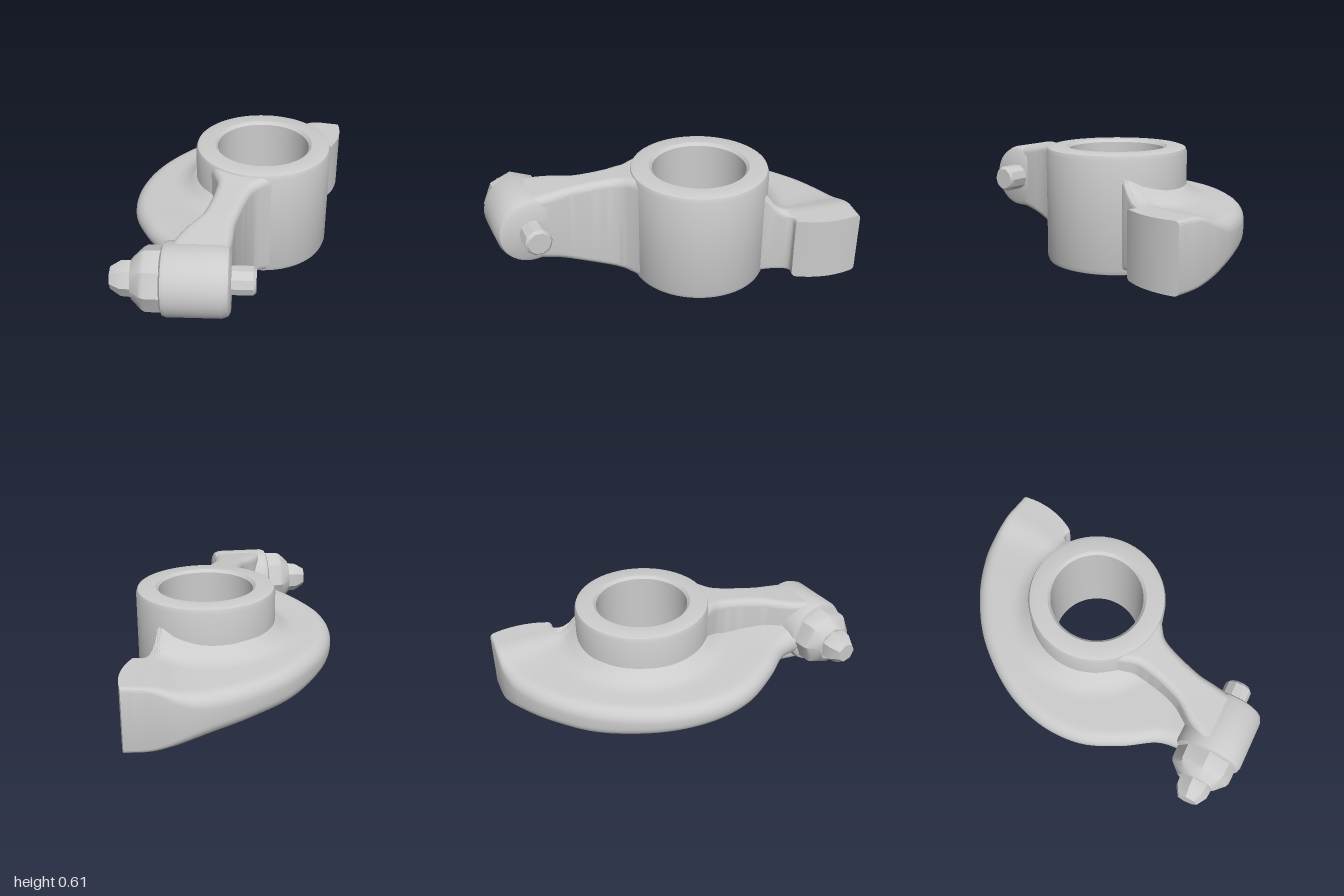
import * as THREE from 'three';
import { toCreasedNormals } from 'three/addons/utils/BufferGeometryUtils.js';

const HUB = { x: 0.14, z: -0.17, outer: 0.365, inner: 0.247, top: 0.605 };
const material = new THREE.MeshStandardMaterial({ color: 0xcccccc });
const { lerp, smoothstep, clamp } = THREE.MathUtils;

function addMesh(parent, name, geometry, crease = 0.6) {
  const mesh = new THREE.Mesh(toCreasedNormals(geometry, crease), material);
  mesh.name = name;
  parent.add(mesh);
  return mesh;
}

// Lofts rounded slabs. Each station is [ax, az, bx, bz, bottom, top]: a and b are the ends of the slab.
// taper lowers the top towards b, the flares thicken the slab at the hub, and bow bulges the last end face.
function loft(stations, { radius, taper = () => 0, flareTop = () => 0, flareBottom = 0, bow = 0, steps = 6, across = 22 }) {
  const curveA = new THREE.CatmullRomCurve3(stations.map(s => new THREE.Vector3(s[0], s[4], s[1])), false, 'catmullrom', 0.5);
  const curveB = new THREE.CatmullRomCurve3(stations.map(s => new THREE.Vector3(s[2], s[5], s[3])), false, 'catmullrom', 0.5);
  const spans = stations.length - 1, rows = spans * steps, ring = 2 * (across + 1);
  const pos = [], index = [];
  for (let i = 0; i <= rows; i++) {
    const t = i / rows, a = curveA.getPoint(t), b = curveB.getPoint(t);
    const dx = b.x - a.x, dz = b.z - a.z, width = Math.hypot(dx, dz);
    const mid = (a.y + b.y) / 2, half = (b.y - a.y) / 2, r = radius(t);
    const bulge = bow * Math.max(0, t * spans - spans + 1) / width;
    const topRow = [], bottomRow = [];
    for (let j = 0; j <= across; j++) {
      const u = 0.5 - 0.5 * Math.cos(Math.PI * j / across);
      const k = bulge * 4 * u * (1 - u);
      const x = a.x + dx * u - dz * k, z = a.z + dz * u + dx * k;
      const edge = Math.max(0, r - Math.min(u, 1 - u) * width);
      const gap = Math.hypot(x - HUB.x, z - HUB.z) - HUB.outer;
      const near = clamp(1 - gap / 0.12, 0, 1) ** 2;
      const h = half - r + Math.sqrt(r * r - edge * edge);
      topRow.push([x, mid + h - half * taper(t) * u + flareTop(t) * near, z]);
      bottomRow.unshift([x, mid - h - flareBottom * near, z]);
    }
    pos.push(...topRow.flat(), ...bottomRow.flat());
  }
  for (let i = 0; i < rows; i++) {
    for (let j = 0; j < ring; j++) {
      const p = i * ring + j, q = i * ring + (j + 1) % ring;
      index.push(p, p + ring, q + ring, p, q + ring, q);
    }
  }
  // End caps
  for (let j = 0; j < across; j++) {
    const t0 = j, t1 = j + 1, b0 = ring - 1 - j, b1 = ring - 2 - j, e = rows * ring;
    index.push(t0, t1, b1, t0, b1, b0);
    index.push(e + t0, e + b1, e + t1, e + t0, e + b0, e + b1);
  }
  const geometry = new THREE.BufferGeometry();
  geometry.setAttribute('position', new THREE.Float32BufferAttribute(pos, 3));
  geometry.setIndex(index);
  geometry.computeVertexNormals();
  return geometry;
}

// Turned part from [radius, position along axis] points, listed from low to high
const turned = (points, sides) => new THREE.LatheGeometry(points.map(p => new THREE.Vector2(...p)), sides);

export function createModel() {
  const model = new THREE.Group();
  model.name = 'rockerArm';

  // Hub: bored sleeve with softened rims
  const { outer, inner, top } = HUB;
  const hub = addMesh(model, 'hub', turned([
    [inner, 0.015], [inner + 0.015, 0], [outer - 0.03, 0], [outer - 0.008, 0.008], [outer, 0.03],
    [outer, top - 0.03], [outer - 0.008, top - 0.008], [outer - 0.03, top], [inner + 0.015, top],
    [inner, top - 0.015], [inner, 0.015],
  ], 64));
  hub.position.set(HUB.x, 0, HUB.z);

  // Crescent flange, running from the boss round the hub and ending in the deep contact pad
  addMesh(model, 'crescentFlangeAndPad', loft([
    [0.16, 0.64, -0.05, 0.69, 0.23, 0.40],
    [0.14, 0.40, -0.12, 0.57, 0.235, 0.385],
    [0.08, 0.19, -0.27, 0.45, 0.225, 0.375],
    [-0.04, 0.09, -0.42, 0.28, 0.205, 0.365],
    [-0.13, 0.00, -0.502, 0.05, 0.19, 0.36],
    [-0.17, -0.17, -0.50, -0.22, 0.175, 0.36],
    [-0.13, -0.31, -0.40, -0.52, 0.155, 0.36],
    [-0.02, -0.43, -0.24, -0.745, 0.145, 0.36],
    [0.12, -0.48, -0.07, -0.89, 0.12, 0.365],
    [0.24, -0.47, 0.06, -0.95, 0.085, 0.37],
    [0.30, -0.45, 0.16, -0.972, 0.06, 0.38],
    [0.325, -0.625, 0.25, -0.985, 0.045, 0.38],
    [0.38, -0.65, 0.335, -0.998, 0.04, 0.38],
  ], {
    radius: t => lerp(0.065, 0.02, smoothstep(t, 0.65, 0.9)),
    taper: t => lerp(0.3, 0, smoothstep(t, 0.65, 0.9)),
    flareTop: t => lerp(0.06, 0.11, smoothstep(t, 0.65, 0.85)),
    flareBottom: 0.02,
    bow: 0.035,
  }));

  // Upright web, spreading into the hub behind and the boss in front
  addMesh(model, 'frontArm', loft([
    [-0.09, 0.09, 0.37, 0.09, 0.01, 0.595],
    [0.00, 0.185, 0.28, 0.185, 0.018, 0.588],
    [0.05, 0.27, 0.24, 0.27, 0.035, 0.575],
    [0.07, 0.48, 0.245, 0.47, 0.09, 0.545],
    [0.03, 0.64, 0.27, 0.58, 0.13, 0.525],
    [0.015, 0.806, 0.30, 0.70, 0.155, 0.505],
  ], { radius: () => 0.04 }));

  // Boss and adjuster share one slanted axis
  const adjuster = new THREE.Group();
  adjuster.name = 'adjuster';
  adjuster.position.set(0.1, 0.33, 0.775);
  adjuster.rotation.y = 0.35;
  model.add(adjuster);
  const parts = [
    ['boss', 40, [[0, -0.11], [0.155, -0.11], [0.175, -0.1], [0.182, -0.08], [0.182, 0.18], [0.172, 0.21], [0.15, 0.222], [0, 0.222]]],
    ['lockNut', 8, [[0, -0.25], [0.1, -0.25], [0.15, -0.2], [0.16, -0.18], [0.162, -0.1], [0, -0.1]]],
    ['screwHead', 7, [[0, -0.352], [0.055, -0.352], [0.088, -0.3], [0.092, -0.24], [0, -0.24]]],
    ['screwTip', 10, [[0, 0.2], [0.073, 0.2], [0.073, 0.325], [0.06, 0.34], [0, 0.34]]],
  ];
  for (const [name, sides, points] of parts) {
    addMesh(adjuster, name, turned(points, sides)).rotation.z = -Math.PI / 2;
  }
  return model;
}
